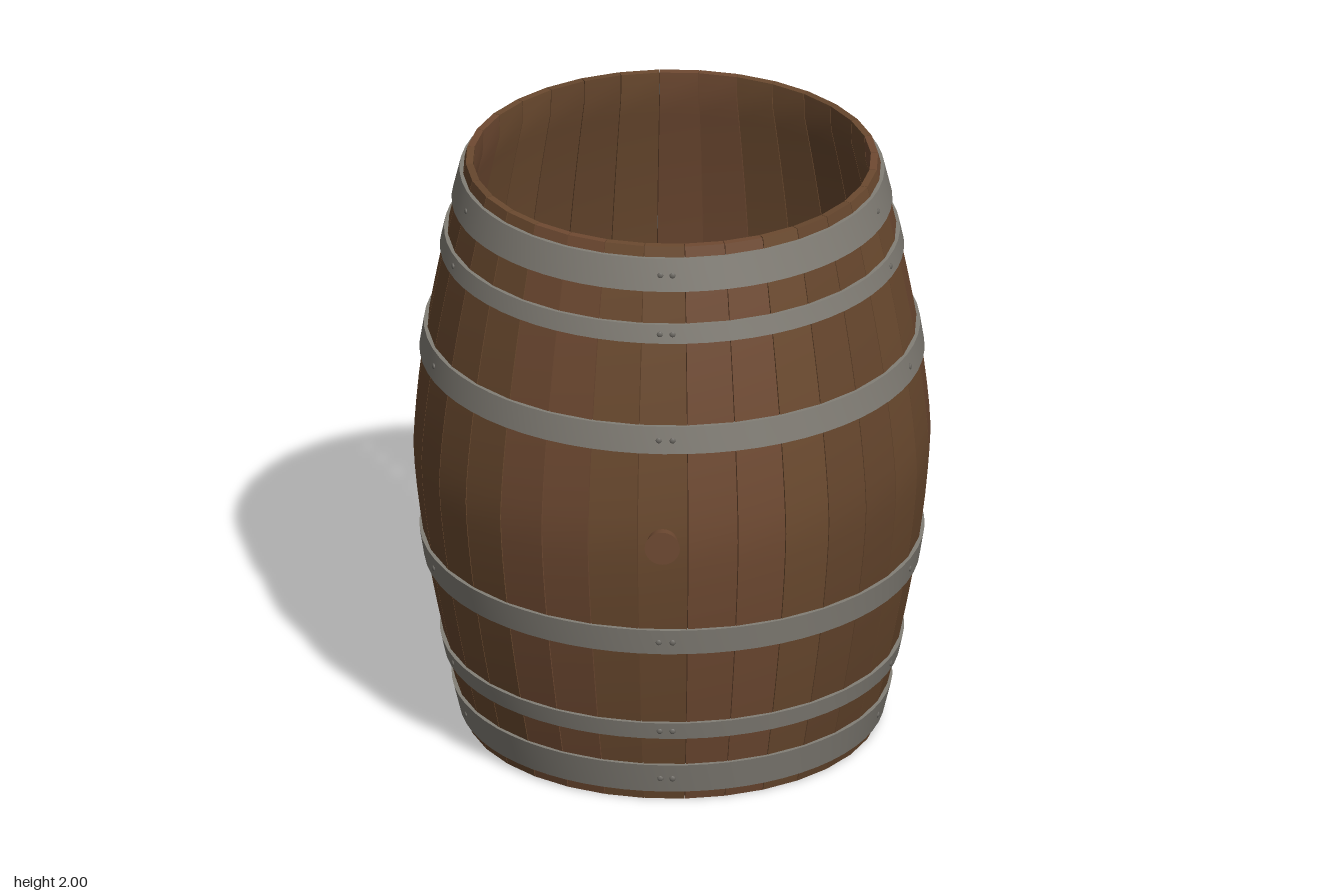
import * as THREE from 'three';
import { toCreasedNormals } from 'three/addons/utils/BufferGeometryUtils.js';

const STAVES = 32;
const STEP = (Math.PI * 2) / STAVES;
const CENTRE_Z = -0.0175;

// Outer radius of the bulging wall at height y
const radiusAt = (y) => 0.676 + 0.172 * (1 - Math.pow(Math.min(1, Math.abs(y - 1)), 1.47));

function material(name, color) {
  const m = new THREE.MeshStandardMaterial({ color });
  m.name = name;
  return m;
}

// One curved stave centred on +z, chamfered inside at the open end
function staveGeometry() {
  const geo = new THREE.BoxGeometry(1, 1, 1, 1, 24, 1);
  const p = geo.attributes.position;
  const half = STEP / 2 - 0.0018;
  for (let i = 0; i < p.count; i++) {
    const y = 2 * (p.getY(i) + 0.5);
    const thickness = y > 1.99 ? 0.024 : 0.042;
    const r = radiusAt(y) - (p.getZ(i) < 0 ? thickness : 0);
    const a = Math.sign(p.getX(i)) * half;
    p.setXYZ(i, r * Math.sin(a), y, r * Math.cos(a));
  }
  geo.computeVertexNormals();
  return geo;
}

// Closed metal band following the wall between two heights
function hoopGeometry(y0, y1) {
  const v = (y, d) => new THREE.Vector2(radiusAt(y) + d, y);
  const pts = [v(y0, -0.008), v(y0, 0.011), v(y1, 0.011), v(y1, -0.008), v(y0, -0.008)];
  return toCreasedNormals(new THREE.LatheGeometry(pts, 64), 0.6);
}

// Floor plank between two depths, its ends cut to the circle
function plankGeometry(z0, z1, radius) {
  const right = [];
  const left = [];
  for (let i = 0; i <= 10; i++) {
    const z = z0 + ((z1 - z0) * i) / 10;
    const x = Math.sqrt(Math.max(0, radius * radius - z * z));
    right.push(new THREE.Vector2(x, z));
    left.unshift(new THREE.Vector2(-x, z));
  }
  const shape = new THREE.Shape([...right, ...left]);
  const geo = new THREE.ExtrudeGeometry(shape, { depth: 0.03, bevelEnabled: false });
  return geo.rotateX(-Math.PI / 2);
}

export function createModel() {
  const model = new THREE.Group();
  model.name = 'barrel';
  const body = new THREE.Group();
  body.name = 'body';
  body.position.z = CENTRE_Z;
  model.add(body);

  const wood = material('oak', 0x6b4a2f);
  const woodDark = material('darkOak', 0x66462d);
  const woodRed = material('redOak', 0x6f4a32);
  const steel = material('hoopSteel', 0x827e76);
  const rivetSteel = material('rivetSteel', 0x6c6963);

  const add = (parent, name, geo, mat) => {
    const mesh = new THREE.Mesh(geo, mat);
    mesh.name = name;
    parent.add(mesh);
    return mesh;
  };

  // Staves
  const stave = staveGeometry();
  const tones = [wood, woodDark, wood, woodRed, wood, woodDark, woodRed];
  for (let i = 0; i < STAVES; i++) {
    add(body, 'stave', stave, tones[(i * 3) % tones.length]).rotation.y = i * STEP;
  }

  // Floor planks
  const floorRadius = 0.645;
  const seams = [-floorRadius, -0.46, -0.23, 0, 0.23, 0.46, floorRadius];
  for (let i = 0; i < seams.length - 1; i++) {
    const geo = plankGeometry(seams[i] + 0.0015, seams[i + 1] - 0.0015, floorRadius);
    add(body, 'floorPlank', geo, wood).position.y = 0.005;
  }

  // Hoops, mirrored about mid height, each with rivets
  const rivet = new THREE.SphereGeometry(0.01, 10, 6);
  const rivetAngles = [-1, 2.2, 74, 146, 218, 290];
  for (const [low, high] of [[0.035, 0.142], [0.25, 0.312], [0.588, 0.68]]) {
    for (const [y0, y1] of [[low, high], [2 - high, 2 - low]]) {
      add(body, 'hoop', hoopGeometry(y0, y1), steel);
      const y = (y0 + y1) / 2;
      const r = radiusAt(y) + 0.011;
      for (const deg of rivetAngles) {
        const a = THREE.MathUtils.degToRad(deg);
        const mesh = add(body, 'rivet', rivet, rivetSteel);
        mesh.position.set(r * Math.sin(a), y, r * Math.cos(a));
        mesh.rotation.y = a;
        mesh.scale.z = 0.5;
      }
    }
  }

  // Tapered bung in the front stave
  const bung = new THREE.CylinderGeometry(0.058, 0.048, 0.06, 24).rotateX(Math.PI / 2);
  add(model, 'bung', bung, woodRed).position.set(0, 1.005, 0.837);

  return model;
}
